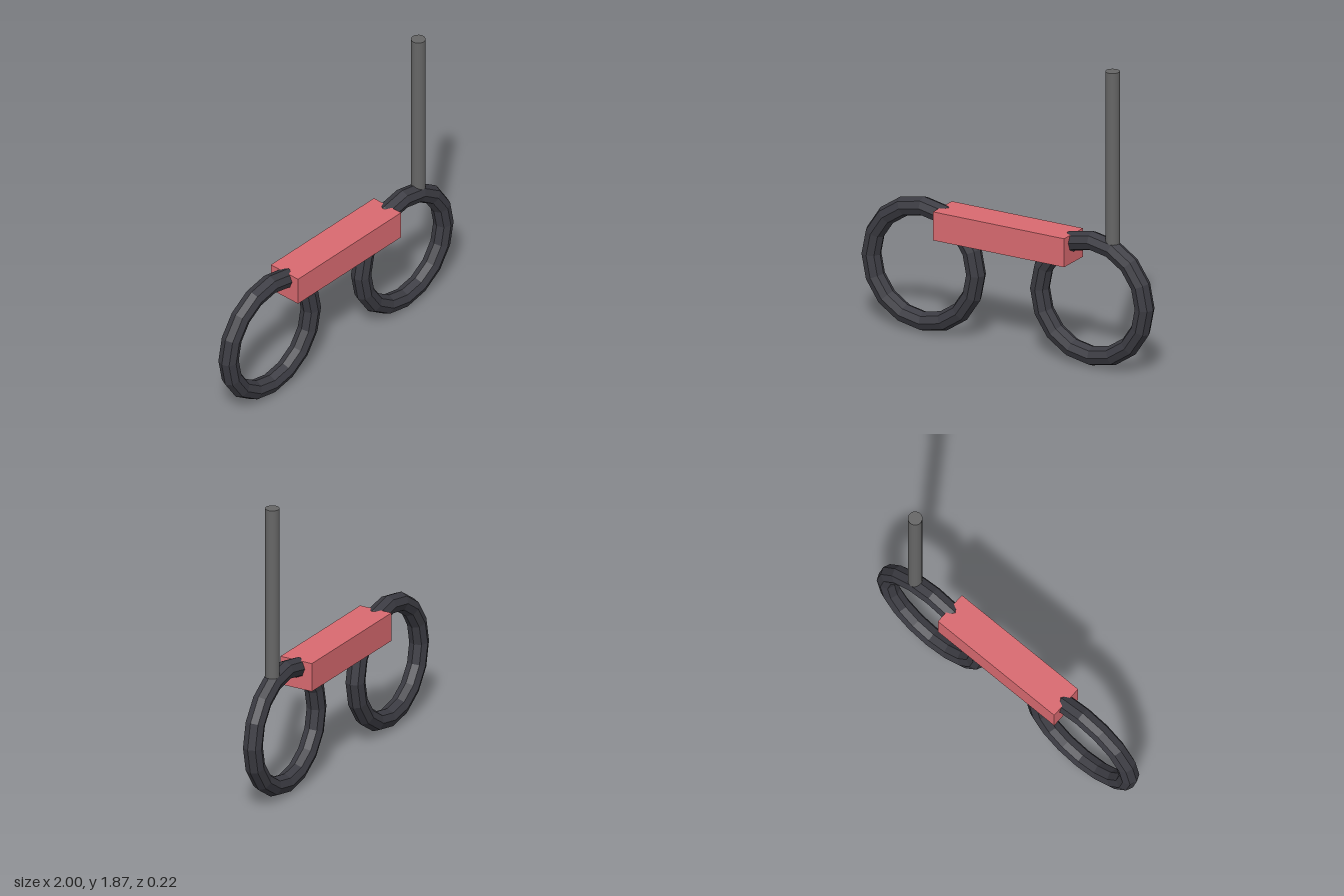
import * as THREE from 'three';

export function createModel() {
  const model = new THREE.Group();
  model.name = 'scooter';

  const rubber = new THREE.MeshStandardMaterial({ color: 0x3b3b42, flatShading: true });
  const paint = new THREE.MeshStandardMaterial({ color: 0xd96a70 });
  const metal = new THREE.MeshStandardMaterial({ color: 0x666666 });

  function add(name, geometry, material, x, y, z = 0) {
    const mesh = new THREE.Mesh(geometry, material);
    mesh.name = name;
    mesh.position.set(x, y, z);
    model.add(mesh);
    return mesh;
  }

  // Two open ring wheels, in line along x
  const ring = new THREE.TorusGeometry(0.36, 0.06, 8, 16);
  for (const [name, side] of [['rearWheel', -1], ['frontWheel', 1]]) {
    add(name, ring, rubber, side * 0.58, 0.423);
  }

  // Deck bridging the wheels
  add('deck', new THREE.BoxGeometry(0.902, 0.178, 0.216), paint, 0, 0.714);

  // Upright steering pole standing on the front wheel
  const bottom = 0.795, top = 1.868;
  add('steeringPole', new THREE.CylinderGeometry(0.043, 0.043, top - bottom, 20),
    metal, 0.72, (top + bottom) / 2);

  return model;
}
